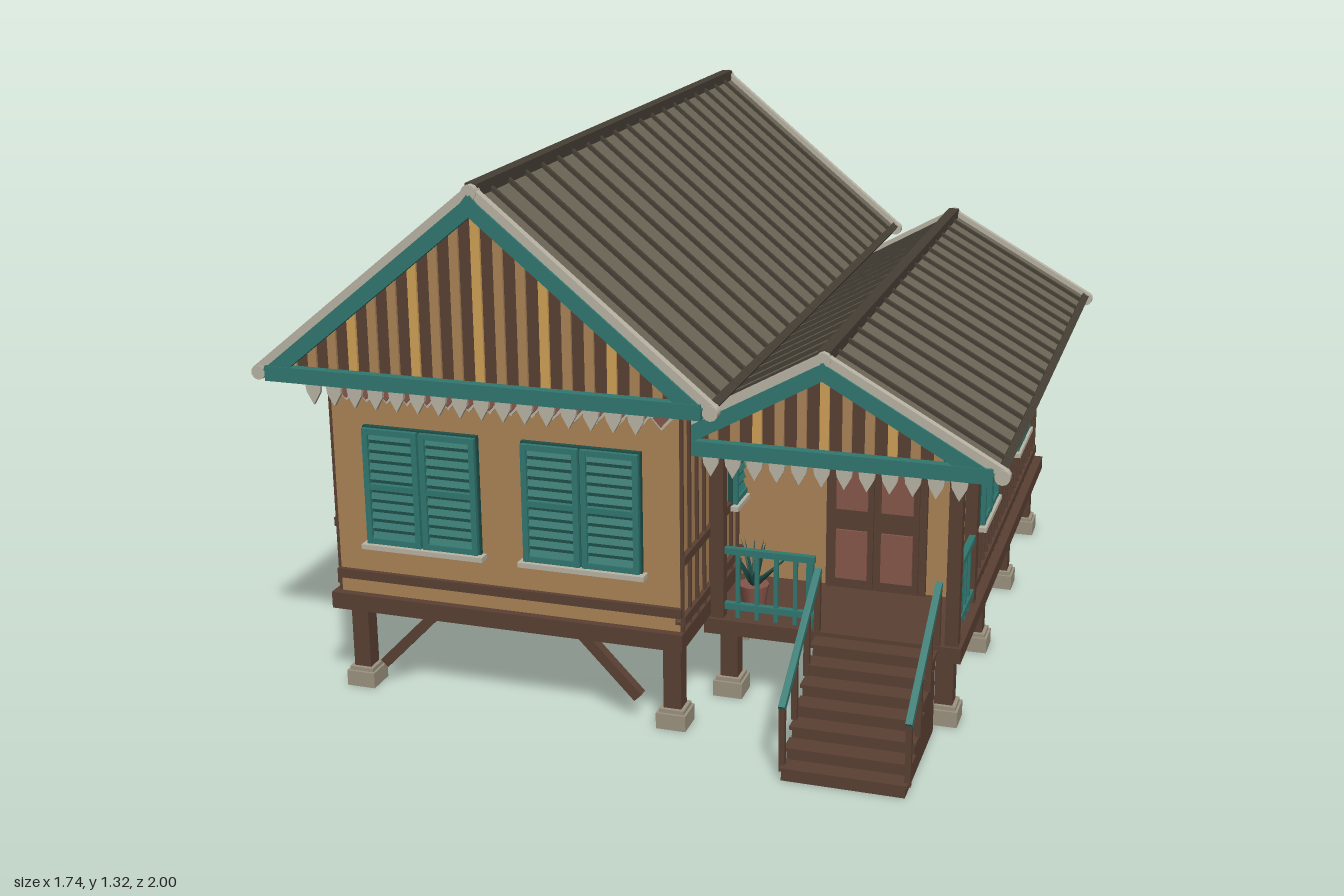
import * as THREE from 'three';

const mat = (name, color) => {
  const m = new THREE.MeshStandardMaterial({ color });
  m.name = name;
  return m;
};

export function createModel() {
  const wall = mat('wall tan', 0xab8357), brown = mat('dark timber', 0x5a4033), roofM = mat('roof sheet', 0x6b6555),
    ribM = mat('roof rib', 0x453f35), teal = mat('teal paint', 0x317870), deep = mat('deep teal', 0x1f4f49),
    trim = mat('pale trim', 0xbab4a5), red = mat('red panel', 0x86564a), gold = mat('gold board', 0xd0a057),
    stone = mat('footing stone', 0x9d9482);
  const model = new THREE.Group();
  model.name = 'stiltHouse';

  const group = (name, parent = model) => {
    const g = new THREE.Group();
    g.name = name;
    parent.add(g);
    return g;
  };
  const add = (p, name, geo, m) => {
    const mesh = new THREE.Mesh(geo, m);
    mesh.name = name;
    p.add(mesh);
    return mesh;
  };
  // box given by its bounds
  const box = (p, name, m, x0, x1, y0, y1, z0, z1) => {
    const b = add(p, name, new THREE.BoxGeometry(x1 - x0, y1 - y0, z1 - z0), m);
    b.position.set((x0 + x1) / 2, (y0 + y1) / 2, (z0 + z1) / 2);
    return b;
  };
  // square bar between two points
  const bar = (p, name, m, a, b, t) => {
    const A = new THREE.Vector3(...a), B = new THREE.Vector3(...b);
    const mesh = add(p, name, new THREE.BoxGeometry(t, t, A.distanceTo(B)), m);
    mesh.position.copy(A).add(B).multiplyScalar(0.5);
    mesh.lookAt(B);
    return mesh;
  };
  // flat polygon extruded along z
  const plate = (p, name, m, pts, z, depth) => {
    const s = new THREE.Shape(pts.map(([x, y]) => new THREE.Vector2(x, y)));
    const mesh = add(p, name, new THREE.ExtrudeGeometry(s, { depth, bevelEnabled: false }), m);
    mesh.position.z = z;
    return mesh;
  };

  // gabled roof with ribs, verges, barge boards, striped gables and drops
  function roof(name, c, hw, ridgeY, eaveY, zb, zf, dropX0, dropX1) {
    const g = group(name), L = Math.hypot(hw, ridgeY - eaveY), ang = Math.atan2(ridgeY - eaveY, hw);
    const count = Math.round((zf - zb) / 0.098);
    for (const s of [1, -1]) {
      const side = group(s > 0 ? 'leftSlope' : 'rightSlope', g);
      side.position.set(c, ridgeY, 0);
      side.rotation.z = -s * ang;
      const on = (n, m, t0, t1, y0, y1, z0, z1) => box(side, n, m, Math.min(s * t0, s * t1), Math.max(s * t0, s * t1), y0, y1, z0, z1);
      on('roofSheet', roofM, 0, L, -0.018, 0, zb + 0.015, zf - 0.015);
      for (let i = 1; i < count; i++) {
        const z = zb + (i * (zf - zb)) / count;
        on('roofRib', ribM, 0, L, 0, 0.009, z - 0.006, z + 0.006);
      }
      on('eaveTrim', ribM, L - 0.015, L + 0.005, -0.026, 0.008, zb + 0.02, zf - 0.02);
      for (const [z, d] of [[zb, 1], [zf, -1]]) {
        const z1 = z + d * 0.006, z2 = z + d * 0.026, z3 = z + d * 0.018;
        on('vergeTrim', trim, 0, L, -0.008, 0.014, Math.min(z1, z2), Math.max(z1, z2));
        on('bargeBoard', teal, 0, L - 0.015, -0.042, -0.006, Math.min(z, z3), Math.max(z, z3));
      }
    }
    box(g, 'ridgeCap', ribM, c - 0.015, c + 0.015, ridgeY - 0.015, ridgeY + 0.018, zb + 0.02, zf - 0.02);
    const yB = eaveY - 0.022, slope = (ridgeY - eaveY) / hw;
    const top = x => ridgeY - 0.035 - Math.abs(x - c) * slope;
    for (const [z, d] of [[zb, 1], [zf, -1]]) {
      const end = group(d > 0 ? 'backGable' : 'frontGable', g);
      for (const [x, y] of [[c, ridgeY], [c - hw, eaveY - 0.005], [c + hw, eaveY - 0.005]]) {
        const k = add(end, 'trimEnd', new THREE.CylinderGeometry(0.018, 0.018, 0.026, 10), trim);
        k.rotation.x = Math.PI / 2;
        k.position.set(x, y, z + d * 0.016);
      }
      const za = z + d * 0.004, zc = z + d * 0.022;
      box(end, 'fascia', teal, c - hw + 0.02, c + hw - 0.02, yB, yB + 0.036, Math.min(za, zc) - (d > 0 ? 0.006 : 0), Math.max(za, zc) + (d > 0 ? 0 : 0.006));
      const w = hw - 0.03, zp = z + d * 0.04;
      plate(end, 'gablePanel', brown, [[c - w, yB + 0.01], [c + w, yB + 0.01], [c, top(c)]], zp - 0.005, 0.01);
      const period = 0.0527, n = Math.floor((w - 0.03) / period);
      for (let i = -n; i <= n; i++) {
        const x = c + i * period, h = 0.011, isGold = i % 3 === 0;
        const pts = [[x - h, yB + 0.01], [x + h, yB + 0.01], [x + h, top(x + h)]];
        if (i === 0) pts.push([x, top(x)]);
        pts.push([x - h, top(x - h)]);
        plate(end, 'gableBoard', isGold ? gold : wall, pts, zp - d * 0.008 - 0.004, 0.008);
      }
      // hanging drops
      for (let x = dropX0; x <= dropX1 + 0.001; x += period) {
        plate(end, 'drop', trim, [[x - 0.02, yB], [x - 0.017, yB - 0.022], [x, yB - 0.052], [x + 0.017, yB - 0.022], [x + 0.02, yB]], z + d * 0.018 - 0.005, 0.01);
      }
    }
  }
  roof('mainRoof', -0.305, 0.55, 1.305, 0.855, -0.998, 0.988, -0.72, 0.12);
  roof('sideRoof', 0.445, 0.41, 0.93, 0.7, -0.89, 0.785, 0.18, 0.77);

  // walls and floors
  box(model, 'mainWalls', wall, -0.745, 0.13, 0.24, 0.89, -0.85, 0.85);
  box(model, 'mainFloor', brown, -0.765, 0.14, 0.22, 0.262, -0.87, 0.87);
  box(model, 'sideWalls', wall, 0.12, 0.73, 0.2, 0.745, -0.745, 0.375);
  box(model, 'sideFloor', brown, 0.13, 0.76, 0.182, 0.22, -0.762, 0.668);

  // battens and rails on the long walls
  const cladding = (name, x, y0, y1, z0, z1, rails) => {
    const g = group(name);
    const n = Math.round((z1 - z0) / 0.056);
    for (let i = 0; i <= n; i++) {
      const z = z0 + 0.004 + ((z1 - z0 - 0.008) * i) / n;
      box(g, 'batten', brown, x - 0.008, x + 0.008, y0, y1, z - 0.0035, z + 0.0035);
    }
    for (const y of rails) box(g, 'rail', brown, x - 0.012, x + 0.012, y - 0.011, y + 0.011, z0, z1);
  };
  cladding('leftMainCladding', 0.13, 0.26, 0.88, -0.85, 0.85, [0.44, 0.29]);
  cladding('rightMainCladding', -0.745, 0.26, 0.88, -0.85, 0.85, [0.44, 0.29]);
  cladding('sideCladding', 0.73, 0.22, 0.74, -0.745, 0.375, [0.4, 0.25]);
  box(model, 'frontRail', brown, -0.75, 0.135, 0.3, 0.323, 0.845, 0.862);

  // diamond frieze on the front wall
  const frieze = group('frieze');
  for (let i = 0; i < 16; i++) {
    const x = -0.7 + i * 0.0527, y = 0.786;
    const diamond = (r, h) => [[x, y - h], [x + r, y], [x, y + h], [x - r, y]];
    plate(frieze, 'paleDiamond', trim, diamond(0.027, 0.03), 0.85, 0.006);
    plate(frieze, 'redDiamond', red, diamond(0.019, 0.021), 0.85, 0.012);
  }
  box(frieze, 'friezeBand', trim, -0.73, 0.115, 0.8, 0.812, 0.85, 0.858);

  // louvred windows with a pair of shutters
  const windowUnit = (name, w, h, x, y, z, ry) => {
    const g = group(name);
    g.position.set(x, y, z);
    g.rotation.y = ry;
    box(g, 'shutterBack', deep, -w / 2, w / 2, 0, h, 0, 0.012);
    for (const s of [-1, 1]) {
      const c = (s * w) / 4, e = w / 4 - 0.003, t = 0.014;
      for (const k of [-1, 1]) box(g, 'stile', teal, c + k * (e - t / 2) - t / 2, c + k * (e - t / 2) + t / 2, 0.004, h - 0.004, 0, 0.024);
      for (const y0 of [0.004, h / 2 - 0.007, h - 0.018]) box(g, 'shutterRail', teal, c - e, c + e, y0, y0 + 0.014, 0, 0.023);
      const n = Math.round(h / 0.026);
      for (let i = 1; i < n; i++) {
        const slat = box(g, 'slat', teal, c - e + t, c + e - t, (i * h) / n - 0.008, (i * h) / n + 0.008, 0.012, 0.016);
        slat.rotation.x = -0.35;
      }
    }
    box(g, 'sill', trim, -w / 2 - 0.01, w / 2 + 0.01, -0.01, 0.002, 0, 0.03);
  };
  for (const x of [-0.513, -0.107]) windowUnit('frontWindow', 0.295, 0.3, x, 0.4, 0.85, 0);
  for (const z of [-0.355, 0.355]) {
    windowUnit('rightWindow', 0.235, 0.235, -0.747, 0.44, z, -Math.PI / 2);
    windowUnit('leftWindow', 0.235, 0.235, 0.132, 0.44, z, Math.PI / 2);
  }
  for (const z of [-0.34, 0.24]) windowUnit('sideWindow', 0.23, 0.235, 0.734, 0.408, z, Math.PI / 2);

  // double door
  const door = group('door');
  box(door, 'doorFrame', brown, 0.365, 0.62, 0.22, 0.67, 0.37, 0.388);
  for (const c of [0.433, 0.548]) {
    box(door, 'doorLeaf', brown, c - 0.054, c + 0.054, 0.225, 0.645, 0.38, 0.396);
    for (const [y0, y1] of [[0.25, 0.38], [0.435, 0.6]]) box(door, 'doorPanel', red, c - 0.04, c + 0.04, y0, y1, 0.39, 0.402);
  }

  // stilts, footings and braces
  const stilts = group('stilts');
  const stilt = (x, z, top) => {
    box(stilts, 'post', brown, x - 0.022, x + 0.022, 0.04, top, z - 0.022, z + 0.022);
    box(stilts, 'footing', stone, x - 0.037, x + 0.037, 0, 0.04, z - 0.037, z + 0.037);
    box(stilts, 'footingCap', stone, x - 0.031, x + 0.031, 0.04, 0.05, z - 0.031, z + 0.031);
  };
  for (let i = 0; i < 4; i++) {
    for (const x of [-0.715, 0.1]) stilt(x, 0.805 - i * 0.5367, 0.23);
    for (const x of [0.18, 0.715]) stilt(x, 0.6 - i * 0.433, 0.19);
  }
  for (const s of [-1, 1]) bar(stilts, 'brace', brown, [-0.325 + s * 0.17, 0.23, 0.805], [-0.325 + s * 0.335, 0.06, 0.805], 0.026);

  // porch posts, railings
  const porch = group('porch');
  for (const x of [0.16, 0.735]) box(porch, 'porchPost', brown, x - 0.016, x + 0.016, 0.22, 0.75, 0.625, 0.657);
  box(porch, 'cornerPost', brown, 0.715, 0.745, 0.22, 0.75, 0.365, 0.395);
  box(porch, 'porchBeam', brown, 0.13, 0.75, 0.69, 0.715, 0.628, 0.655);
  const railing = (a, b) => {
    for (const y of [0.25, 0.393]) bar(porch, 'porchRail', teal, [a[0], y, a[1]], [b[0], y, b[1]], 0.016);
    for (let i = 1; i <= 4; i++) {
      const t = i / 5, x = a[0] + (b[0] - a[0]) * t, z = a[1] + (b[1] - a[1]) * t;
      box(porch, 'baluster', teal, x - 0.005, x + 0.005, 0.22, 0.393, z - 0.005, z + 0.005);
    }
  };
  railing([0.16, 0.641], [0.4, 0.641]);
  railing([0.735, 0.641], [0.735, 0.39]);
  box(porch, 'railPost', teal, 0.38, 0.396, 0.22, 0.4, 0.633, 0.649);

  // stairs with sloping handrails
  const stairs = group('stairs');
  for (let i = 0; i < 7; i++) {
    const z = 1 - i * 0.0475;
    box(stairs, 'step', brown, 0.415, 0.7, 0, 0.022 + i * 0.03, z - 0.0475, z);
    box(stairs, 'tread', brown, 0.41, 0.705, 0.022 + i * 0.03, 0.03 + i * 0.03, z - 0.0475, z + (i ? 0.006 : 0));
  }
  for (const x of [0.412, 0.702]) {
    bar(stairs, 'handrail', teal, [x, 0.17, 0.985], [x, 0.375, 0.655], 0.016);
    for (const [z, y0, y1] of [[0.978, 0.02, 0.172], [0.87, 0.09, 0.24], [0.76, 0.15, 0.31], [0.66, 0.21, 0.37]])
      box(stairs, 'railBaluster', brown, x - 0.007, x + 0.007, y0, y1, z - 0.007, z + 0.007);
  }

  // potted plant
  const plant = group('plant');
  plant.position.set(0.23, 0.22, 0.575);
  add(plant, 'pot', new THREE.CylinderGeometry(0.038, 0.026, 0.065, 10), red).position.y = 0.0325;
  for (let i = 0; i < 11; i++) {
    const leaf = group('leaf', plant), lean = 0.25 + 0.3 * (i % 3);
    leaf.position.y = 0.06;
    leaf.rotation.set(0, i * 2.4, -lean);
    const blade = add(leaf, 'blade', new THREE.ConeGeometry(0.009, 0.12, 4), deep);
    blade.position.y = 0.06;
  }
  return model;
}
